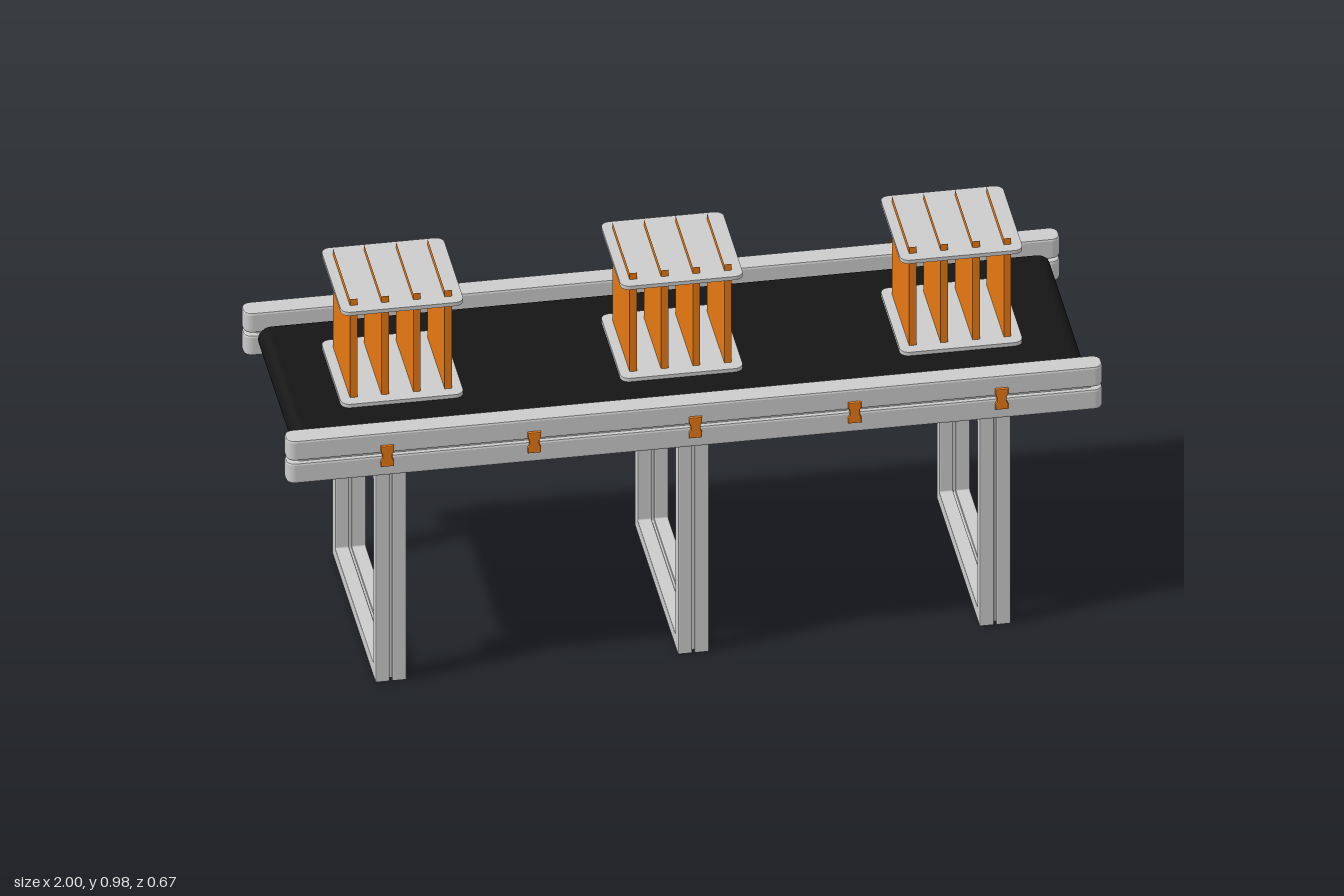
import * as THREE from 'three';

const grey = new THREE.MeshStandardMaterial({ color: 0xcccccc });
const orange = new THREE.MeshStandardMaterial({ color: 0xe67812 });
const black = new THREE.MeshStandardMaterial({ color: 0x151515 });

function add(parent, name, geometry, material, x = 0, y = 0, z = 0) {
  const mesh = new THREE.Mesh(geometry, material);
  mesh.name = name;
  mesh.position.set(x, y, z);
  parent.add(mesh);
  return mesh;
}

// Rectangle outline with rounded corners
function roundedRect(w, h, r, Type = THREE.Shape) {
  const s = new Type(), x = w / 2 - r, y = h / 2 - r;
  s.absarc(x, y, r, 0, Math.PI / 2);
  s.absarc(-x, y, r, Math.PI / 2, Math.PI);
  s.absarc(-x, -y, r, Math.PI, Math.PI * 1.5);
  s.absarc(x, -y, r, Math.PI * 1.5, Math.PI * 2);
  s.closePath();
  return s;
}

// Extrusion centred on its depth, with bevels kept inside the given depth
function extrude(shape, depth, bevel = 0) {
  return new THREE.ExtrudeGeometry(shape, {
    depth: depth - 2 * bevel, curveSegments: 10, bevelEnabled: bevel > 0,
    bevelThickness: bevel, bevelSize: bevel, bevelOffset: -bevel, bevelSegments: 2,
  }).translate(0, 0, -depth / 2 + bevel);
}

// Flat slab in the ground plane with rounded corners
const slab = (w, h, d, r, bevel) => extrude(roundedRect(w, d, r), h, bevel).rotateX(-Math.PI / 2);

// Square ring standing across the conveyor
function ring(size, thickness, depth, bevel) {
  const shape = roundedRect(size, size, 0.004);
  shape.holes.push(roundedRect(size - 2 * thickness, size - 2 * thickness, 0.004, THREE.Path));
  return extrude(shape, depth, bevel).rotateY(Math.PI / 2);
}

// Hollow fin: four upright walls, open at top and bottom
function finGeometry(w, h, d) {
  const geo = new THREE.BoxGeometry(w, h, d);
  const index = Array.from(geo.index.array);
  index.splice(12, 12);
  geo.setIndex(index);
  geo.clearGroups();
  return geo;
}

// Clip with a narrow waist
function clipGeometry() {
  const s = new THREE.Shape();
  const half = [[0.016, -0.029], [0.016, -0.014], [0.012, -0.006], [0.012, 0.006], [0.016, 0.014], [0.016, 0.029]];
  half.forEach(([x, y], i) => (i ? s.lineTo(x, y) : s.moveTo(x, y)));
  half.slice().reverse().forEach(([x, y]) => s.lineTo(-x, y));
  s.closePath();
  return extrude(s, 0.035, 0.003);
}

export function createModel() {
  const model = new THREE.Group();
  model.name = 'conveyor';

  // Belt looped around its end rollers
  add(model, 'belt', extrude(roundedRect(1.94, 0.066, 0.0329), 0.5), black, 0, 0.662, 0);

  // Side rails, mirrored front and back
  const bar = slab(2, 0.057, 0.056, 0.022, 0.006);
  const clip = clipGeometry();
  for (const side of [1, -1]) {
    const rail = new THREE.Group();
    rail.name = side > 0 ? 'frontRail' : 'backRail';
    model.add(rail);
    add(rail, 'lowerBar', bar, grey, 0, 0.6325, side * 0.297);
    add(rail, 'upperBar', bar, grey, 0, 0.6965, side * 0.297);
    add(rail, 'railCore', new THREE.BoxGeometry(1.94, 0.02, 0.034), grey, 0, 0.6645, side * 0.297);
    add(rail, 'beltSupport', new THREE.BoxGeometry(1.88, 0.037, 0.04), grey, 0, 0.6635, side * 0.26);
    for (const x of [-0.755, -0.395, 0, 0.39, 0.75]) {
      add(rail, 'clip', clip, orange, x, 0.662, side * 0.315);
    }
  }

  // Leg frames: two square rings joined by a recessed core
  const halfRing = ring(0.6, 0.036, 0.035, 0.003);
  const coreRing = ring(0.588, 0.024, 0.02, 0);
  for (const x of [-0.741, 0, 0.739]) {
    const frame = new THREE.Group();
    frame.name = 'legFrame';
    frame.position.set(x, 0.302, 0);
    model.add(frame);
    for (const side of [-1, 1]) add(frame, 'legRing', halfRing, grey, side * 0.0205, 0, 0);
    add(frame, 'legCore', coreRing, grey);
  }

  // Finned loads riding on the belt
  const plate = slab(0.3, 0.01, 0.3, 0.022, 0);
  const fin = finGeometry(0.018, 0.283, 0.24);
  for (const x of [-0.685, 0, 0.685]) {
    const load = new THREE.Group();
    load.name = 'finnedLoad';
    load.position.x = x;
    model.add(load);
    add(load, 'bottomPlate', plate, grey, 0, 0.7005, 0);
    add(load, 'topPlate', plate, grey, 0, 0.962, 0);
    for (const dx of [-0.116, -0.039, 0.039, 0.116]) add(load, 'fin', fin, orange, dx, 0.8435, 0);
  }

  return model;
}
